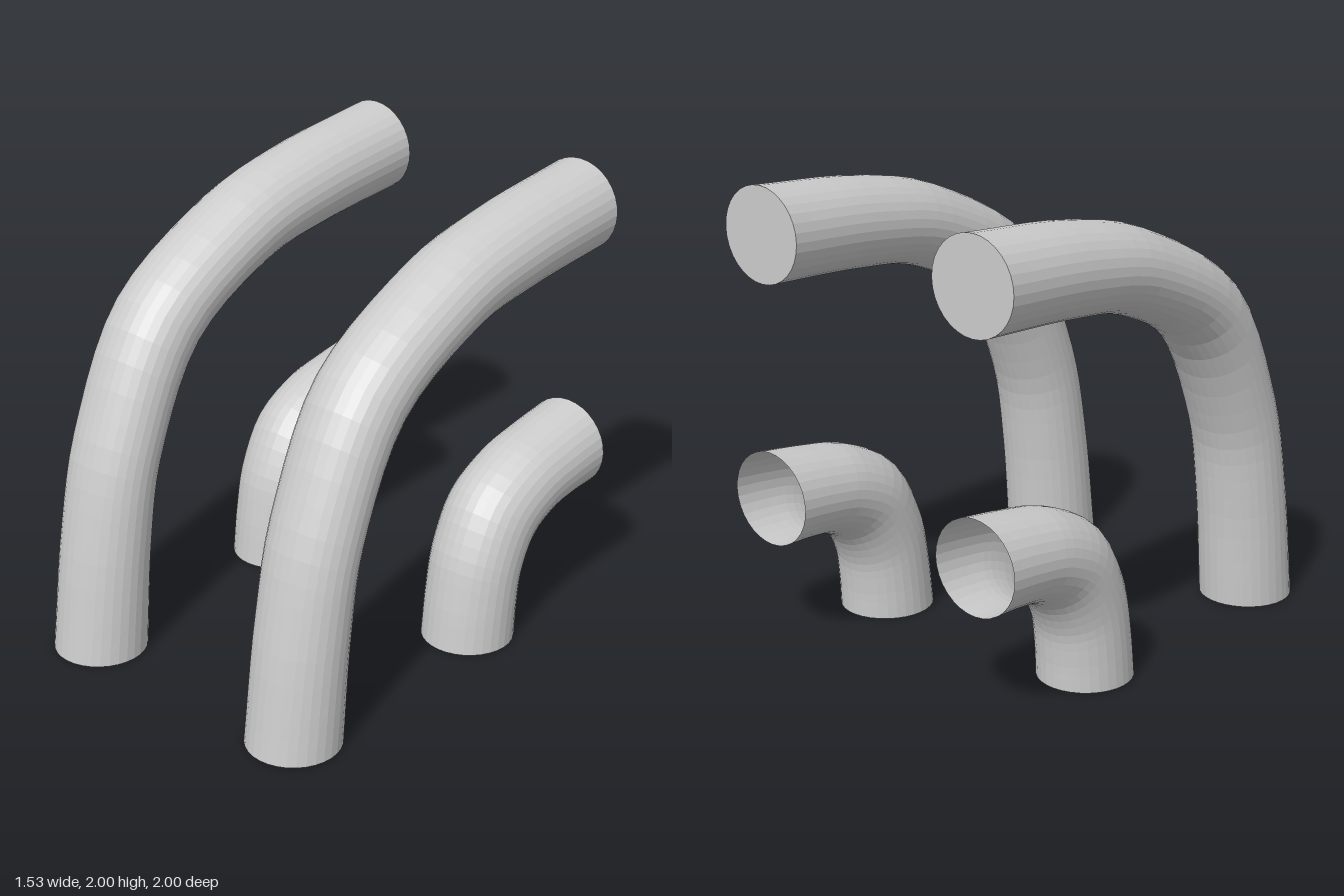
import * as THREE from 'three';

const SIDES = 32, RADIUS = 0.203, SPACING = 0.5625;

// Side profiles as [z, y]: paired points along the outside and inside of each bend
const LONG = {
  outer: [[1, 0], [0.92, 0.54], [0.8, 1.01], [0.53, 1.515], [0.01, 1.82], [-0.45, 1.94], [-1, 2]],
  inner: [[0.595, 0], [0.56, 0.48], [0.49, 0.85], [0.265, 1.27], [-0.15, 1.495], [-0.52, 1.56], [-1, 1.595]],
};
const SHORT = {
  outer: [[-0.125, 0], [-0.155, 0.23], [-0.205, 0.45], [-0.33, 0.67], [-0.55, 0.795], [-0.77, 0.845], [-1, 0.88]],
  inner: [[-0.53, 0], [-0.535, 0.13], [-0.555, 0.26], [-0.625, 0.385], [-0.74, 0.45], [-0.87, 0.47], [-1, 0.475]],
};

const material = new THREE.MeshStandardMaterial({
  color: 0xcccccc, flatShading: true, side: THREE.DoubleSide,
});

const spline = (points) =>
  new THREE.CatmullRomCurve3(points.map(([z, y]) => new THREE.Vector3(0, y, z)), false, 'catmullrom', 0.5);

// Open cylinder whose rings are stretched between the outer and inner profiles
function bentTube({ outer, inner }, segments) {
  const outside = spline(outer), inside = spline(inner);
  const geometry = new THREE.CylinderGeometry(1, 1, 1, SIDES, segments, true);
  const pos = geometry.attributes.position;
  for (let i = 0; i < pos.count; i++) {
    const t = THREE.MathUtils.clamp(pos.getY(i) + 0.5, 0, 1);
    const p = inside.getPoint(t).lerp(outside.getPoint(t), (pos.getZ(i) + 1) / 2);
    pos.setXYZ(i, pos.getX(i) * RADIUS, p.y, p.z);
  }
  geometry.computeVertexNormals();
  return geometry;
}

function addMesh(parent, name, geometry) {
  const mesh = new THREE.Mesh(geometry, material);
  mesh.name = name;
  parent.add(mesh);
  return mesh;
}

export function createModel() {
  const model = new THREE.Group();
  model.name = 'bentPipes';
  const longTube = bentTube(LONG, 28);
  const shortTube = bentTube(SHORT, 22);
  const disc = new THREE.CircleGeometry(RADIUS, SIDES);

  for (const [side, sign] of [['left', 1], ['right', -1]]) {
    const pair = new THREE.Group();
    pair.name = side + 'Pipes';
    pair.position.x = sign * SPACING;

    // Tall pipe, closed at the back and open at the floor
    addMesh(pair, side + 'LongPipe', longTube);
    const cap = addMesh(pair, side + 'LongPipeCap', disc);
    cap.rotation.y = Math.PI;
    cap.position.set(0, 1.7975, -1);

    // Low pipe, open at both ends
    addMesh(pair, side + 'ShortPipe', shortTube);
    model.add(pair);
  }
  return model;
}
